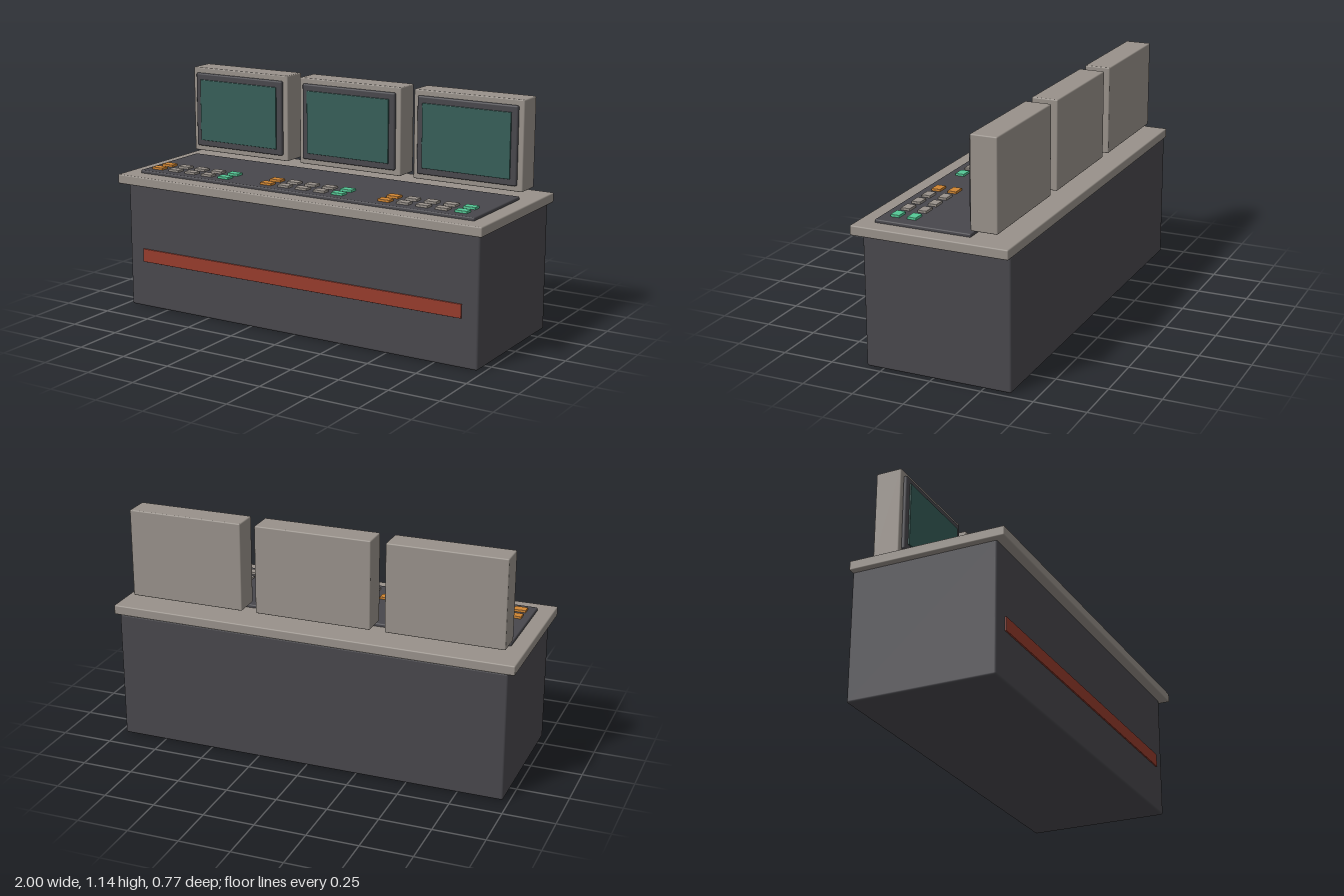
import * as THREE from 'three';
import { RoundedBoxGeometry } from 'three/addons/geometries/RoundedBoxGeometry.js';

function material(name, color) {
  const m = new THREE.MeshStandardMaterial({ color });
  m.name = name;
  return m;
}

export function createModel() {
  const model = new THREE.Group();
  model.name = 'controlConsole';

  const charcoal = material('charcoal', 0x48474c);
  const beige = material('warmGrey', 0x98918a);
  const screenGreen = material('screenGreen', 0x365e58);
  const amber = material('amber', 0xd08633);
  const mint = material('mint', 0x55c896);
  const red = material('red', 0x963b2c);

  // Softly rounded box given by its [min, max] extents on each axis
  function block(parent, name, mat, [x0, x1], [y0, y1], [z0, z1], radius) {
    const geo = new RoundedBoxGeometry(x1 - x0, y1 - y0, z1 - z0, 2, radius);
    const mesh = new THREE.Mesh(geo, mat);
    mesh.name = name;
    mesh.position.set((x0 + x1) / 2, (y0 + y1) / 2, (z0 + z1) / 2);
    parent.add(mesh);
    return mesh;
  }

  // Desk
  block(model, 'cabinet', charcoal, [-0.97, 0.97], [0, 0.635], [-0.382, 0.335], 0.01);
  block(model, 'deskTop', beige, [-1, 1], [0.63, 0.677], [-0.383, 0.383], 0.006);
  block(model, 'controlPanel', charcoal, [-0.922, 0.922], [0.671, 0.692], [-0.17, 0.3], 0.006);
  block(model, 'frontStripe', red, [-0.887, 0.887], [0.234, 0.3], [0.334, 0.342], 0.001);

  // Three stations, each a monitor with two rows of buttons
  for (const cx of [-0.645, 0, 0.645]) {
    const span = (w) => [cx - w / 2, cx + w / 2];

    const monitor = new THREE.Group();
    monitor.name = 'monitor';
    model.add(monitor);
    block(monitor, 'monitorCase', beige, span(0.574), [0.71, 1.144], [-0.303, -0.174], 0.006);
    block(monitor, 'monitorBezel', charcoal, span(0.522), [0.738, 1.117], [-0.178, -0.157], 0.008);
    block(monitor, 'screen', screenGreen, span(0.462), [0.77, 1.085], [-0.158, -0.15], 0.002);

    const buttons = new THREE.Group();
    buttons.name = 'buttonBank';
    model.add(buttons);
    for (const z of [0.148, 0.231]) {
      for (let i = 0; i < 5; i++) {
        const x = cx - 0.21 + i * 0.099;
        const mat = i === 0 ? amber : i === 4 ? mint : beige;
        block(buttons, 'button', mat, [x - 0.031, x + 0.031], [0.688, 0.703], [z - 0.022, z + 0.022], 0.002);
      }
    }
  }
  return model;
}
